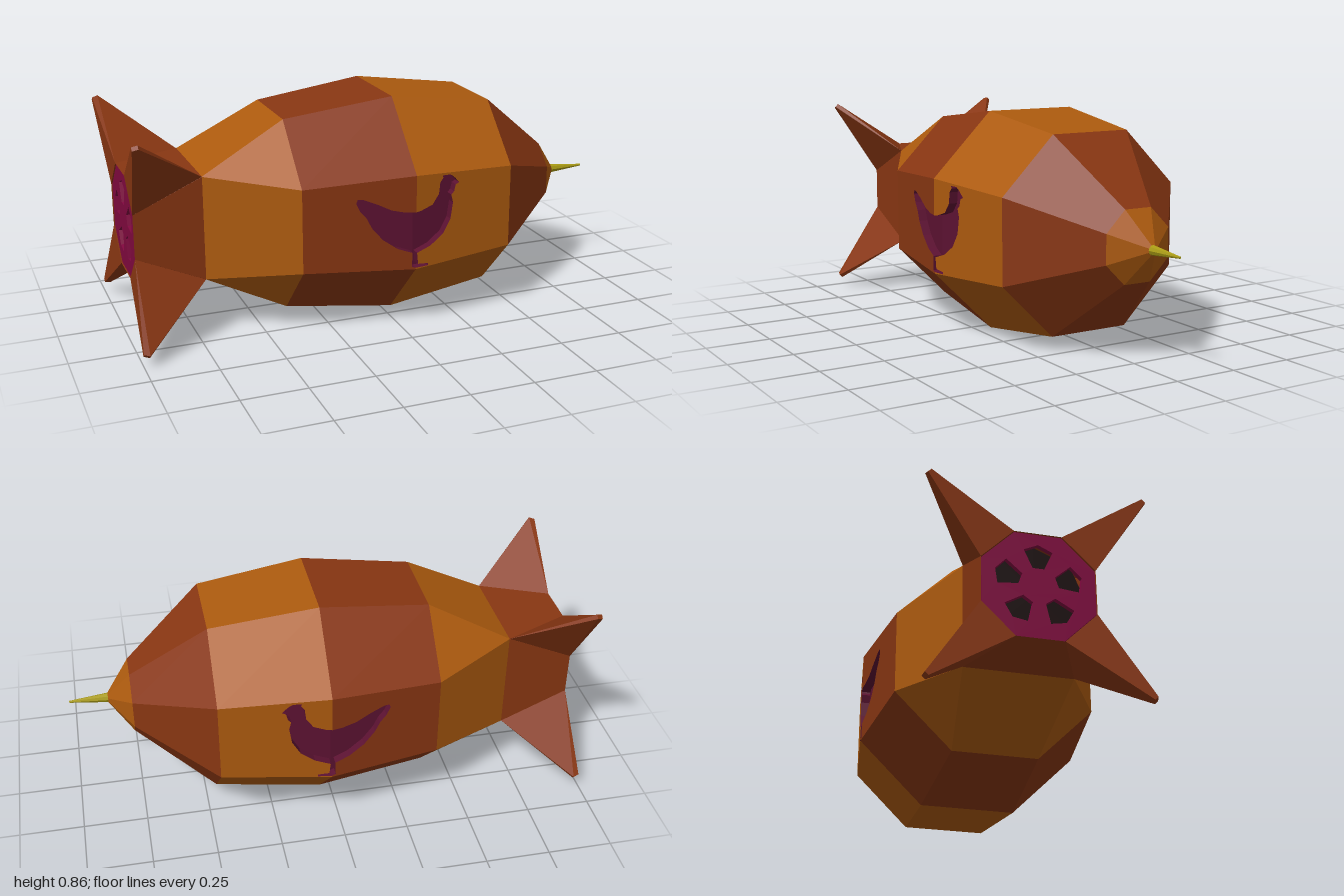
import * as THREE from 'three';
import { ConvexGeometry } from 'three/addons/geometries/ConvexGeometry.js';

const mat = (color) => new THREE.MeshStandardMaterial({ color, flatShading: true, side: THREE.DoubleSide });
const orange = mat(0xac5a0e), rust = mat(0x883612), plum = mat(0x5c1232),
  magenta = mat(0x80083f), yellow = mat(0xa89a14), dark = mat(0x1a0c0c);

// Hull stations: x, apothem, half width of the flat sides
const RINGS = [
  [-0.977, 0.202, 0.085], [-0.715, 0.202, 0.201], [-0.39, 0.377, 0.163], [0.04, 0.432, 0.185],
  [0.46, 0.377, 0.163], [0.76, 0.135, 0.056], [0.85, 0.018, 0.0075],
];
const ringPoint = ([x, a, h], k) => {
  const [y, z] = [[h, a], [a, h], [a, -h], [h, -a], [-h, -a], [-a, -h], [-a, h], [-h, a]][k % 8];
  return [x, y, z];
};

function mesh(name, geometry, material) {
  const m = new THREE.Mesh(geometry, material);
  m.name = name;
  return m;
}

function quads(list) {
  const pos = [];
  for (const [a, b, c, d] of list) pos.push(...a, ...b, ...c, ...a, ...c, ...d);
  const g = new THREE.BufferGeometry();
  g.setAttribute('position', new THREE.Float32BufferAttribute(pos, 3));
  g.computeVertexNormals();
  return g;
}

// Bird outline, split at the widest ring (x = 0.04); y measured from the axis
const MID = 0.04, DEPTH = 0.035;
const FOOT = [MID, -0.179], BACK = [MID, 0.043];
const LEFT = [
  [0.025, -0.174], [0.027, -0.118], [-0.03, -0.097], [-0.088, -0.056], [-0.13, -0.006], [-0.15, 0.034],
  [-0.174, 0.062], [-0.19, 0.095], [-0.184, 0.11], [-0.163, 0.108], [-0.11, 0.086], [-0.055, 0.058], [0, 0.045],
];
const RIGHT = [
  [0.094, -0.179], [0.094, -0.17], [0.05, -0.165], [0.045, -0.12], [0.104, -0.1], [0.158, -0.062], [0.19, -0.008],
  [0.2, 0.056], [0.192, 0.088], [0.204, 0.1], [0.21, 0.126], [0.226, 0.133], [0.208, 0.152], [0.198, 0.161],
  [0.187, 0.168], [0.174, 0.178], [0.152, 0.17], [0.155, 0.16], [0.142, 0.144], [0.137, 0.1], [0.11, 0.062], [0.062, 0.046],
];
const sideZ = (x) => 0.432 - 0.055 * Math.abs(x - MID) / (x < MID ? 0.43 : 0.42);

// Flat outline bent onto the sloping side of the hull
function sidePlate(points, inset) {
  const g = new THREE.ShapeGeometry(new THREE.Shape(points.map(([x, y]) => new THREE.Vector2(x, y))));
  const p = g.attributes.position;
  for (let i = 0; i < p.count; i++) p.setZ(i, sideZ(p.getX(i)) - inset);
  g.computeVertexNormals();
  return g;
}

function birdSide() {
  const side = new THREE.Group();
  for (const [half, end, material] of [[LEFT, -0.39, rust], [RIGHT, 0.46, orange]]) {
    const edge = [FOOT, ...half, BACK];
    side.add(mesh('sidePanel', sidePlate([[end, -0.163], [MID, -0.185], ...edge, [MID, 0.185], [end, 0.163]], 0), material));
    side.add(mesh('birdRecessFloor', sidePlate(edge, DEPTH), plum));
    const walls = edge.slice(1).map(([x, y], i) => {
      const [u, v] = edge[i];
      return [[u, v, sideZ(u)], [x, y, sideZ(x)], [x, y, sideZ(x) - DEPTH], [u, v, sideZ(u) - DEPTH]];
    });
    side.add(mesh('birdRecessWall', quads(walls), plum));
  }
  return side;
}

// Octagonal tail plate with openings around a hub
function ventPlate() {
  const shape = new THREE.Shape();
  for (let k = 0; k < 8; k++) {
    const [, y, z] = ringPoint([0, 0.2, 0.084], k);
    k ? shape.lineTo(z, y) : shape.moveTo(z, y);
  }
  shape.closePath();
  const n = 5;
  for (let i = 0; i < n; i++) {
    const a = Math.PI / 2 + i * 2 * Math.PI / n;
    const at = (r, t) => new THREE.Vector2(r * Math.cos(a + t), r * Math.sin(a + t));
    shape.holes.push(new THREE.Path([at(0.07, -0.3), at(0.145, -0.36), at(0.16, 0), at(0.145, 0.36), at(0.07, 0.3)]));
  }
  return new THREE.ExtrudeGeometry(shape, { depth: 0.018, bevelEnabled: false }).rotateY(-Math.PI / 2);
}

export function createModel() {
  const model = new THREE.Group();
  model.name = 'airship';
  const craft = new THREE.Group();
  craft.position.y = 0.433;
  model.add(craft);

  // Hull bands in alternating colours; the two middle bands leave room for the bird sides
  for (let i = 0; i < RINGS.length - 1; i++) {
    const list = [];
    for (let k = 0; k < 8; k++) {
      if ((i === 2 || i === 3) && (k === 3 || k === 7)) continue;
      const [A, B] = [RINGS[i], RINGS[i + 1]];
      list.push([ringPoint(A, k), ringPoint(B, k), ringPoint(B, k + 1), ringPoint(A, k + 1)]);
    }
    craft.add(mesh('hullBand', quads(list), i % 2 ? orange : rust));
  }

  // Recessed bird on both sides
  for (const s of [1, -1]) {
    const side = birdSide();
    side.name = s > 0 ? 'frontBird' : 'backBird';
    side.scale.z = s;
    craft.add(side);
  }

  // Four diagonal tail fins
  for (const sy of [1, -1]) for (const sz of [1, -1]) {
    const pts = [
      [-0.715, 0.201, 0.201], [-0.977, 0.085, 0.202], [-0.977, 0.202, 0.085],
      [-0.978, 0.397, 0.385], [-0.978, 0.385, 0.397], [-1, 0.391, 0.379], [-1, 0.379, 0.391],
    ].map(([x, y, z]) => new THREE.Vector3(x, y * sy, z * sz));
    craft.add(mesh('tailFin', new ConvexGeometry(pts), rust));
  }

  // Tail vent with dark backing
  const vent = mesh('tailVent', ventPlate(), magenta);
  vent.position.x = -0.955;
  const backing = mesh('ventBacking', new THREE.CircleGeometry(0.18, 8).rotateY(-Math.PI / 2), dark);
  backing.position.x = -0.92;
  craft.add(vent, backing);

  // Nose spike
  const spike = mesh('noseSpike', new THREE.CylinderGeometry(0.004, 0.02, 0.16, 8).rotateZ(-Math.PI / 2), yellow);
  spike.position.x = 0.92;
  craft.add(spike);
  return model;
}
